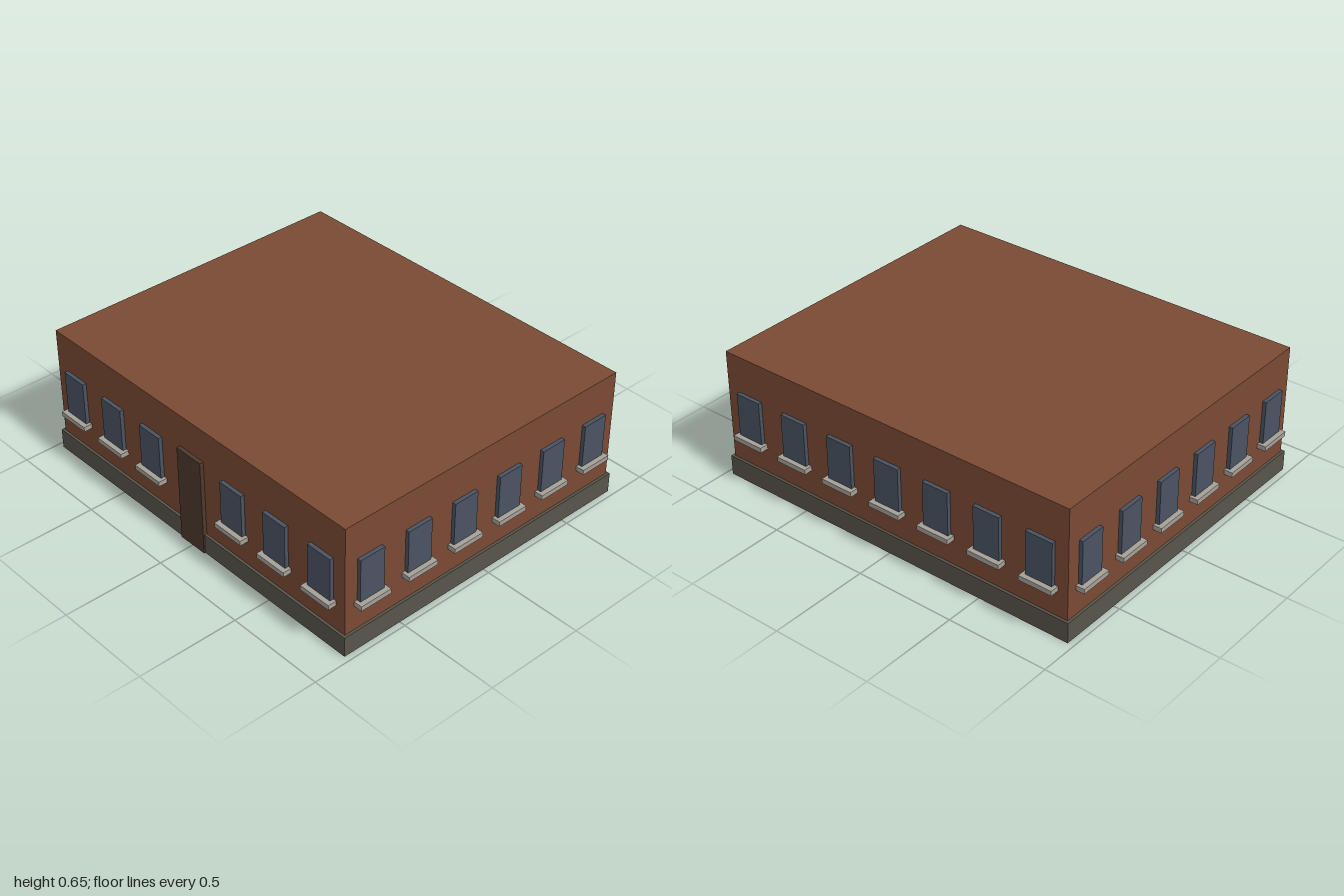
import * as THREE from 'three';

const material = (name, color) => {
  const m = new THREE.MeshStandardMaterial({ color });
  m.name = name;
  return m;
};

export function createModel() {
  const brick = material('brick', 0x7a4a35);
  const stone = material('plinth stone', 0x58544a);
  const glass = material('window glass', 0x4a5362);
  const sillStone = material('sill stone', 0xa5a198);
  const wood = material('door wood', 0x4e392d);

  const WIDTH = 1.914, DEPTH = 1.6, HEIGHT = 0.65;
  const model = new THREE.Group();
  model.name = 'building';

  // Box given by its centre in x and z and its bottom and top heights
  const box = (parent, name, mat, w, d, y0, y1, x = 0, z = 0) => {
    const mesh = new THREE.Mesh(new THREE.BoxGeometry(w, y1 - y0, d), mat);
    mesh.name = name;
    mesh.position.set(x, (y0 + y1) / 2, z);
    parent.add(mesh);
  };

  // Brick block on a slightly wider plinth
  box(model, 'walls', brick, WIDTH, DEPTH, 0.05, HEIGHT);
  box(model, 'plinth', stone, WIDTH + 0.026, DEPTH + 0.026, 0, 0.1);

  // One facade: evenly spaced windows with sills, facing its local +z
  const facade = (name, length, count, distance, turn, doorBay = -1) => {
    const side = new THREE.Group();
    side.name = name;
    side.rotation.y = turn;
    const bay = length / count;
    for (let i = 0; i < count; i++) {
      const x = (i + 0.5) * bay - length / 2;
      if (i === doorBay) {
        box(side, 'door', wood, 0.156, 0.04, 0, 0.488, x, distance);
        continue;
      }
      box(side, 'window', glass, bay * 0.5, 0.038, 0.24, 0.465, x, distance);
      box(side, 'windowSill', sillStone, bay * 0.62, 0.06, 0.226, 0.25, x, distance + 0.013);
    }
    model.add(side);
  };

  facade('frontFacade', WIDTH, 7, DEPTH / 2, 0, 3);
  facade('backFacade', WIDTH, 7, DEPTH / 2, Math.PI);
  facade('leftFacade', DEPTH, 6, WIDTH / 2, Math.PI / 2);
  facade('rightFacade', DEPTH, 6, WIDTH / 2, -Math.PI / 2);

  return model;
}
